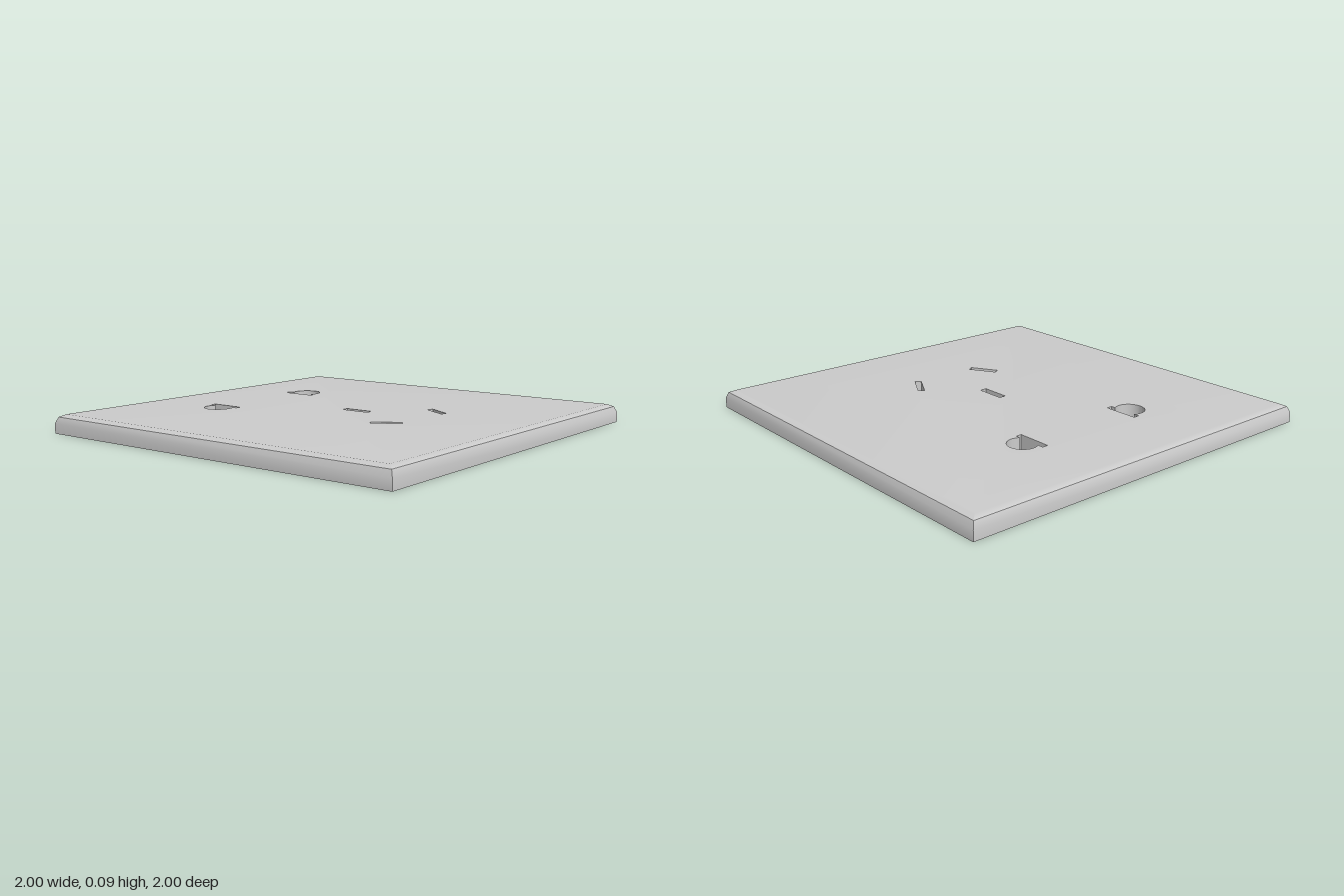
import * as THREE from 'three';
import { toCreasedNormals } from 'three/addons/utils/BufferGeometryUtils.js';

// Edge profile of the plate: [half width, height]
const PROFILE = [[1, 0], [1, 0.05], [0.987, 0.081], [0.96, 0.094]];

// Straight pin slot, centred at (x, z) and turned in plan
function slot(x, z, width, length, angle = 0) {
  const corners = [[-1, -1], [1, -1], [1, 1], [-1, 1]].map(([a, b]) =>
    new THREE.Vector2(a * width / 2, b * length / 2)
      .rotateAround(new THREE.Vector2(), angle)
      .add(new THREE.Vector2(x, -z)));
  return new THREE.Path(corners);
}

// Flat slot merged with a round pin hole; side = -1 left of centre, 1 right
function combinedHole(side) {
  const cx = 0.346, cy = 0.54, r = 0.072, inner = 0.278, outer = 0.308;
  const start = Math.acos((cx - outer) / r);
  const points = [[inner, 0.455], [inner, 0.63], [outer, 0.63]];
  const n = 32;
  for (let i = 0; i <= n; i++) {
    const a = Math.PI - start - (i / n) * 2 * (Math.PI - start);
    points.push([cx + r * Math.cos(a), cy + r * Math.sin(a)]);
  }
  points.push([outer, 0.455]);
  return new THREE.Path(points.map(([x, y]) => new THREE.Vector2(side * x, y)));
}

export function createModel() {
  const group = new THREE.Group();
  group.name = 'wallSocket';

  const plastic = new THREE.MeshStandardMaterial({ color: 0xcccccc });
  plastic.name = 'light grey plastic';

  // Square faceplate with the pin openings cut through
  const shape = new THREE.Shape(
    [[-1, -1], [1, -1], [1, 1], [-1, 1]].map(([x, y]) => new THREE.Vector2(x, y)));
  shape.holes.push(
    combinedHole(-1),
    combinedHole(1),
    slot(0, 0.075, 0.036, 0.15),
    slot(-0.212, 0.406, 0.032, 0.149, Math.PI / 6),
    slot(0.212, 0.406, 0.032, 0.149, -Math.PI / 6));

  const steps = PROFILE.length - 1;
  const plate = new THREE.ExtrudeGeometry(shape, { depth: 1, steps, bevelEnabled: false });

  // Set each layer to its profile height and draw in the outer edge only
  const pos = plate.attributes.position;
  for (let i = 0; i < pos.count; i++) {
    const [half, height] = PROFILE[Math.round(pos.getZ(i) * steps)];
    const x = pos.getX(i), y = pos.getY(i);
    const scale = Math.max(Math.abs(x), Math.abs(y)) > 0.99 ? half : 1;
    pos.setXYZ(i, x * scale, y * scale, height);
  }
  plate.rotateX(-Math.PI / 2);
  plate.computeVertexNormals();

  const mesh = new THREE.Mesh(toCreasedNormals(plate, 0.45), plastic);
  mesh.name = 'faceplate';
  group.add(mesh);
  return group;
}
